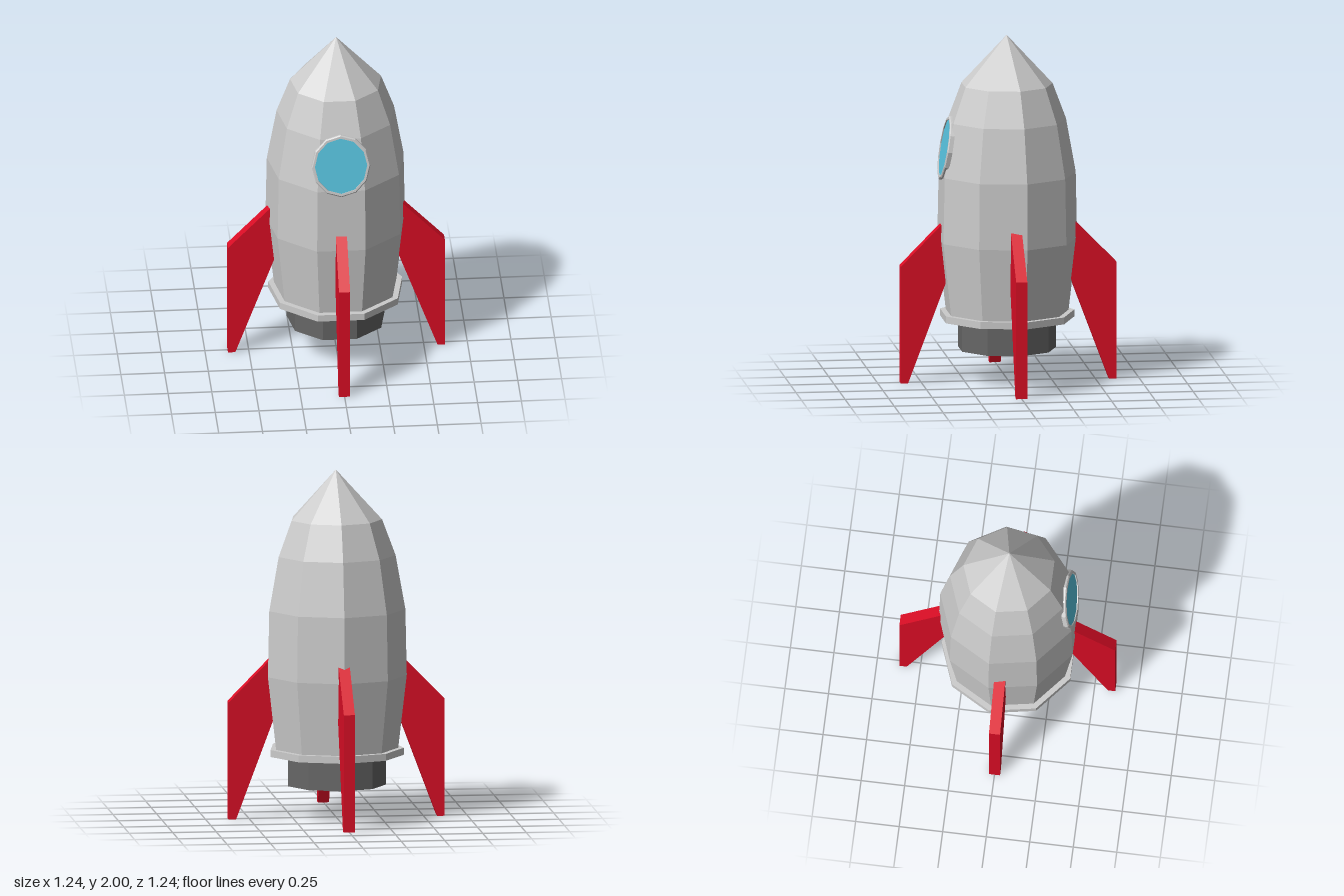
import * as THREE from 'three';

const SIDES = 9;
const BODY_Z = 0.008;

const material = (color) =>
  new THREE.MeshStandardMaterial({ color, flatShading: true });

// Faceted lathe with a corner at the back and a flat facet at the front
function turned(name, points, mat, sides = SIDES) {
  const profile = points.map(([r, y]) => new THREE.Vector2(r, y));
  const mesh = new THREE.Mesh(new THREE.LatheGeometry(profile, sides, Math.PI), mat);
  mesh.name = name;
  return mesh;
}

export function createModel() {
  const rocket = new THREE.Group();
  rocket.name = 'rocket';

  const grey = material(0xcccccc);
  const darkGrey = material(0x666666);
  const red = material(0xdc0d25);
  const blue = material(0x58c4e0);

  // Hull, from closed underside to pointed nose
  const hull = turned('hull', [
    [0, 0.39], [0.355, 0.39], [0.405, 0.82], [0.397, 1.2],
    [0.341, 1.51], [0.264, 1.715], [0, 2],
  ], grey);

  // Flat collar around the base of the hull
  const collar = turned('baseCollar', [
    [0.345, 0.36], [0.389, 0.36], [0.389, 0.4], [0.345, 0.4], [0.345, 0.36],
  ], grey);

  // Engine nozzle with a recessed bore
  const nozzle = turned('engineNozzle', [
    [0, 0.34], [0.19, 0.34], [0.19, 0.187], [0.285, 0.187], [0.285, 0.4],
  ], darkGrey);

  for (const part of [hull, collar, nozzle]) {
    part.position.z = BODY_Z;
    rocket.add(part);
  }

  // Porthole: slightly tall rim and pane, tilted to lie on the hull
  const porthole = new THREE.Group();
  porthole.name = 'porthole';
  const rim = turned('portholeRim', [
    [0.15, -0.02], [0.168, -0.02], [0.168, 0.004], [0.162, 0.01],
    [0.15, 0.01], [0.15, -0.02],
  ], grey, 12);
  rim.geometry.rotateX(Math.PI / 2);
  const pane = new THREE.Mesh(new THREE.CircleGeometry(0.151, 12, Math.PI / 2), blue);
  pane.name = 'portholeGlass';
  pane.position.z = 0.004;
  porthole.add(rim, pane);
  porthole.scale.y = 1.11;
  porthole.position.set(0, 1.354, 0.36);
  porthole.rotation.x = -0.17;
  rocket.add(porthole);

  // Four swept fins, rooted inside the hull
  const outline = new THREE.Shape([
    [0.578, 0], [0.62, 0], [0.62, 0.675], [0.33, 0.97], [0.33, 0.66],
  ].map(([x, y]) => new THREE.Vector2(x, y)));
  const finGeometry = new THREE.ExtrudeGeometry(outline, { depth: 0.064, bevelEnabled: false });
  finGeometry.translate(0, 0, -0.032);
  ['leftFin', 'backFin', 'rightFin', 'frontFin'].forEach((name, i) => {
    const fin = new THREE.Mesh(finGeometry, red);
    fin.name = name;
    fin.rotation.y = (i * Math.PI) / 2;
    rocket.add(fin);
  });

  return rocket;
}
